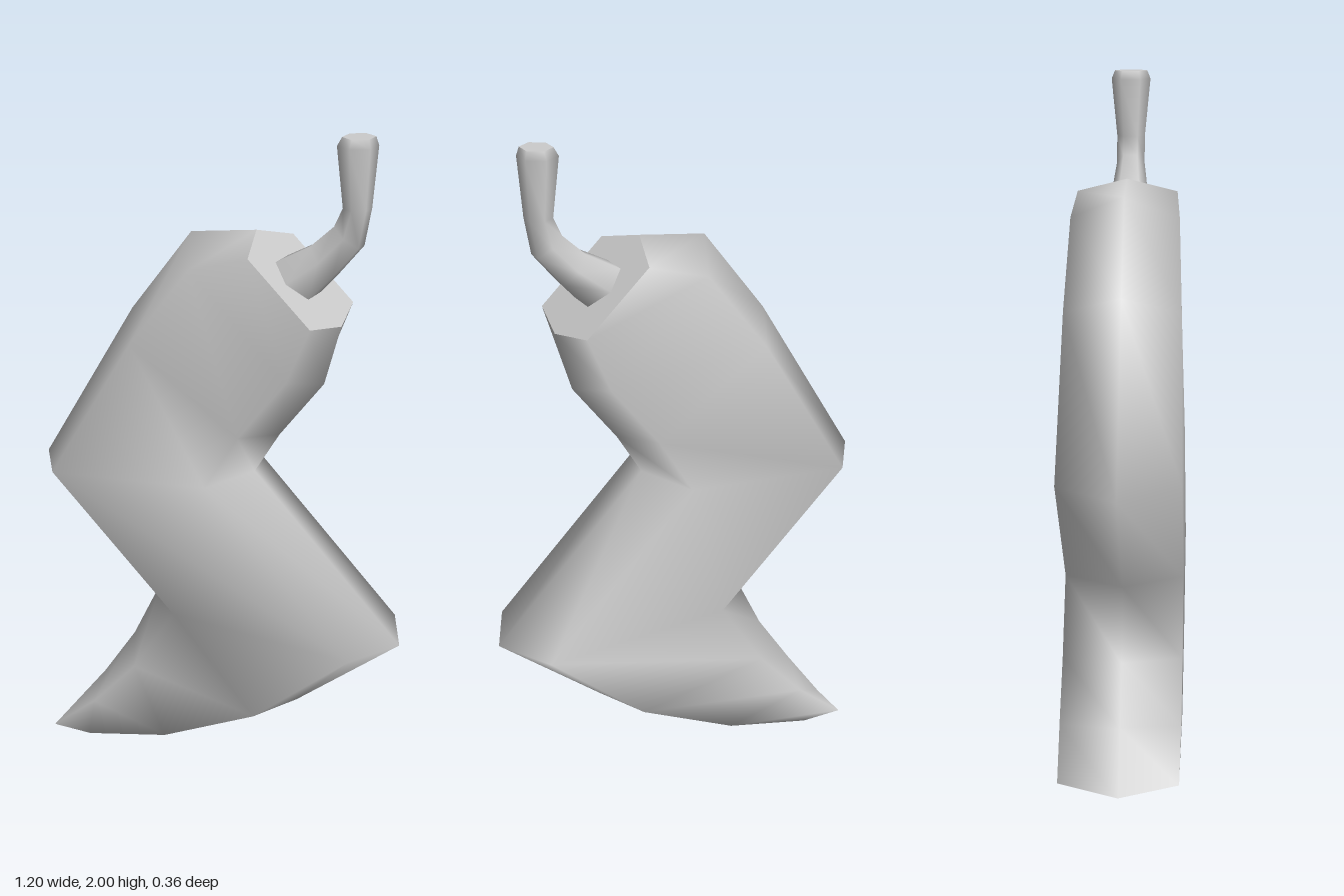
import * as THREE from 'three';

// Cross-section outlines: [position from left edge (0) to right edge (1), depth factor]
const BODY = [[0, 0], [0.17, 1], [0.89, 1], [1, 0], [0.89, -1], [0.17, -1]];
const STEM = [[0, 0.5], [0.5, 1], [1, 0.5], [1, -0.5], [0.5, -1], [0, -0.5]];

// Skin a stack of rings, top to bottom; each ring is [leftX, leftY, rightX, rightY, halfDepth, lift]
function loft(name, rings, section, material) {
  const pos = [], index = [], n = section.length;
  const addRing = ([lx, ly, rx, ry, d, lift = 0]) => {
    const start = pos.length / 3;
    for (const [t, z] of section) {
      pos.push(lx + (rx - lx) * t, ly + (ry - ly) * t + lift * Math.abs(z), d * z);
    }
    return start;
  };
  rings.forEach(addRing);
  for (let r = 0; r < rings.length - 1; r++) {
    for (let k = 0; k < n; k++) {
      const a = r * n + k, b = r * n + (k + 1) % n;
      index.push(a, a + n, b + n, a, b + n, b);
    }
  }
  // End caps have their own vertices so their rims stay crisp
  const top = addRing(rings[0]), bottom = addRing(rings[rings.length - 1]);
  for (let k = 1; k < n - 1; k++) {
    index.push(top, top + k, top + k + 1, bottom, bottom + k + 1, bottom + k);
  }
  const geometry = new THREE.BufferGeometry();
  geometry.setAttribute('position', new THREE.Float32BufferAttribute(pos, 3));
  geometry.setIndex(index);
  geometry.computeVertexNormals();
  const mesh = new THREE.Mesh(geometry, material);
  mesh.name = name;
  return mesh;
}

export function createModel() {
  const group = new THREE.Group();
  group.name = 'zigzagPepper';
  const material = new THREE.MeshStandardMaterial({ color: 0xcccccc });

  // Zigzag fruit body, from the sloping shoulder to the tip
  group.add(loft('pepperBody', [
    [0.12, 1.70, 0.39, 1.45, 0.15],
    [-0.09, 1.67, 0.34, 1.27, 0.16],
    [-0.29, 1.41, 0.20, 1.09, 0.17],
    [-0.60, 0.90, 0.12, 0.96, 0.178],
    [-0.20, 0.53, 0.60, 0.49, 0.178],
    [-0.30, 0.33, 0.27, 0.23, 0.178],
    [-0.41, 0.17, -0.06, 0.09, 0.178],
    [-0.53, 0.005, -0.35, 0.005, 0.175, 0.03],
  ], BODY, material));

  // Curved stem, flared at both ends
  group.add(loft('stem', [
    [0.39, 2.00, 0.47, 2.00, 0.05],
    [0.377, 1.975, 0.477, 1.975, 0.06],
    [0.395, 1.80, 0.465, 1.80, 0.043],
    [0.37, 1.745, 0.445, 1.69, 0.043],
    [0.30, 1.68, 0.37, 1.60, 0.055],
    [0.20, 1.625, 0.305, 1.53, 0.082],
    [0.19, 1.61, 0.295, 1.52, 0.075],
  ], STEM, material));

  return group;
}
